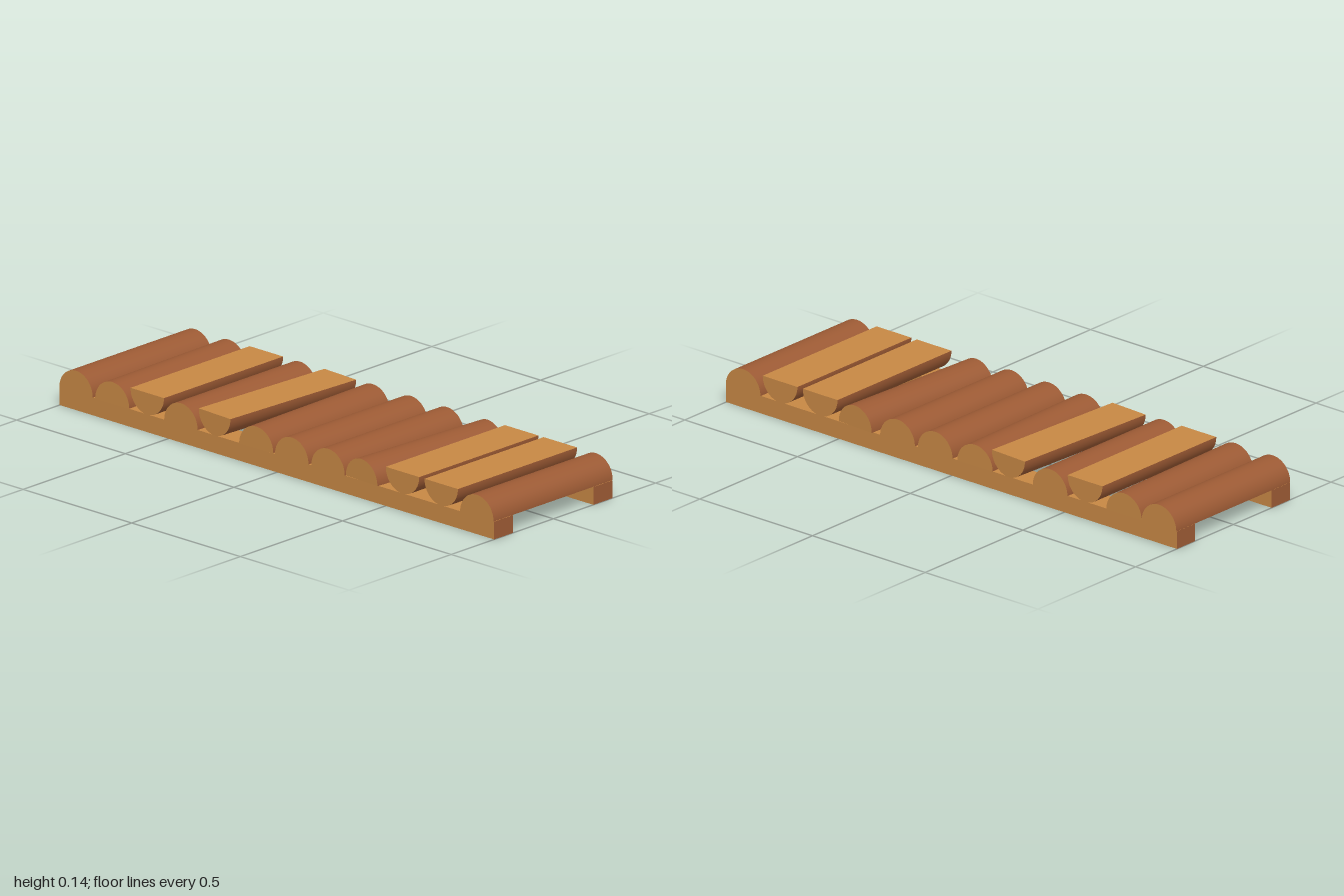
import * as THREE from 'three';

export function createModel() {
  const model = new THREE.Group();
  model.name = 'logWalkway';

  const cutWood = new THREE.MeshStandardMaterial({ color: 0xc68744 });
  cutWood.name = 'cut wood';
  const bark = new THREE.MeshStandardMaterial({ color: 0x9c5a34 });
  bark.name = 'bark';

  const radius = 0.077, length = 0.583, railHeight = 0.063;

  // Two long rails with bark coloured ends
  const railGeometry = new THREE.BoxGeometry(2, railHeight, 0.093);
  for (const [name, z] of [['frontRail', 0.243], ['backRail', -0.242]]) {
    const rail = new THREE.Mesh(railGeometry, [bark, bark, cutWood, cutWood, cutWood, cutWood]);
    rail.name = name;
    rail.position.set(0, railHeight / 2, z);
    model.add(rail);
  }

  // Split log: rounded bark with half-disc ends, and a flat sawn face
  const roundGeometry = new THREE.CylinderGeometry(radius, radius, length, 32, 1, false, -Math.PI / 2, Math.PI);
  roundGeometry.rotateX(-Math.PI / 2);
  const flatGeometry = new THREE.PlaneGeometry(2 * radius, length);
  flatGeometry.rotateX(Math.PI / 2);

  function addLog(x, turn, flatUp, index) {
    const log = new THREE.Group();
    log.name = `splitLog${index + 1}`;
    const round = new THREE.Mesh(roundGeometry, [bark, cutWood, cutWood]);
    round.name = 'roundSide';
    const flat = new THREE.Mesh(flatGeometry, cutWood);
    flat.name = 'sawnFace';
    log.add(round, flat);
    log.position.set(x, flatUp ? railHeight + radius : railHeight + 0.0005, 0);
    log.rotation.set(0, turn, flatUp ? Math.PI : 0);
    model.add(log);
  }

  // Position, slight turn, and whether the sawn face is up
  const logs = [
    [-0.923, 0, false], [-0.762, 0.019, false], [-0.595, 0, true],
    [-0.44, 0, false], [-0.27, -0.053, true], [-0.1, 0.022, false],
    [0.07, 0, false], [0.237, 0, false], [0.408, -0.058, false],
    [0.58, 0, true], [0.758, 0, true], [0.922, 0, false],
  ];
  logs.forEach(([x, turn, flatUp], i) => addLog(x, turn, flatUp, i));

  return model;
}
